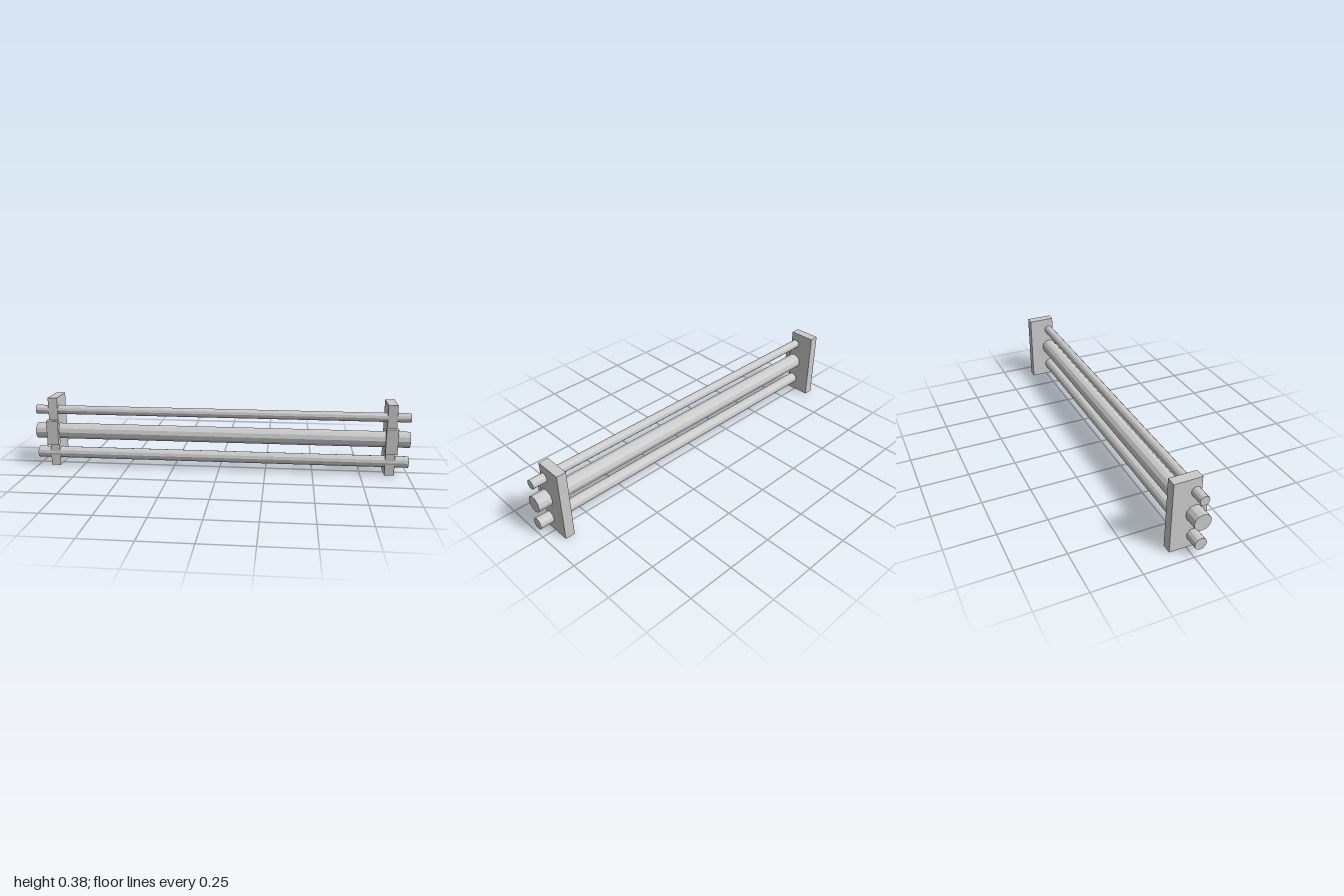
import * as THREE from 'three';

export function createModel() {
  const group = new THREE.Group();
  const material = new THREE.MeshStandardMaterial({ color: 0xcccccc, flatShading: true });

  const add = (name, geometry, x, y, z) => {
    const mesh = new THREE.Mesh(geometry, material);
    mesh.name = name;
    mesh.position.set(x, y, z);
    group.add(mesh);
  };

  // Three long horizontal rods
  const rods = [
    ['lowerRod', 0.031, 0.068],
    ['middleRod', 0.0435, 0.19],
    ['upperRod', 0.0245, 0.308],
  ];
  for (const [name, radius, y] of rods) {
    const rod = new THREE.CylinderGeometry(radius, radius, 2, 12).rotateZ(Math.PI / 2);
    add(name, rod, 0, y, 0.0275);
  }

  // Bracket plate and front clamp pad at each end
  for (const [side, s] of [['left', 1], ['right', -1]]) {
    add(side + 'Bracket', new THREE.BoxGeometry(0.05, 0.378, 0.142), s * 0.903, 0.189, -0.015);
    add(side + 'ClampPad', new THREE.BoxGeometry(0.062, 0.134, 0.029), s * 0.903, 0.19, 0.0725);
  }

  return group;
}
